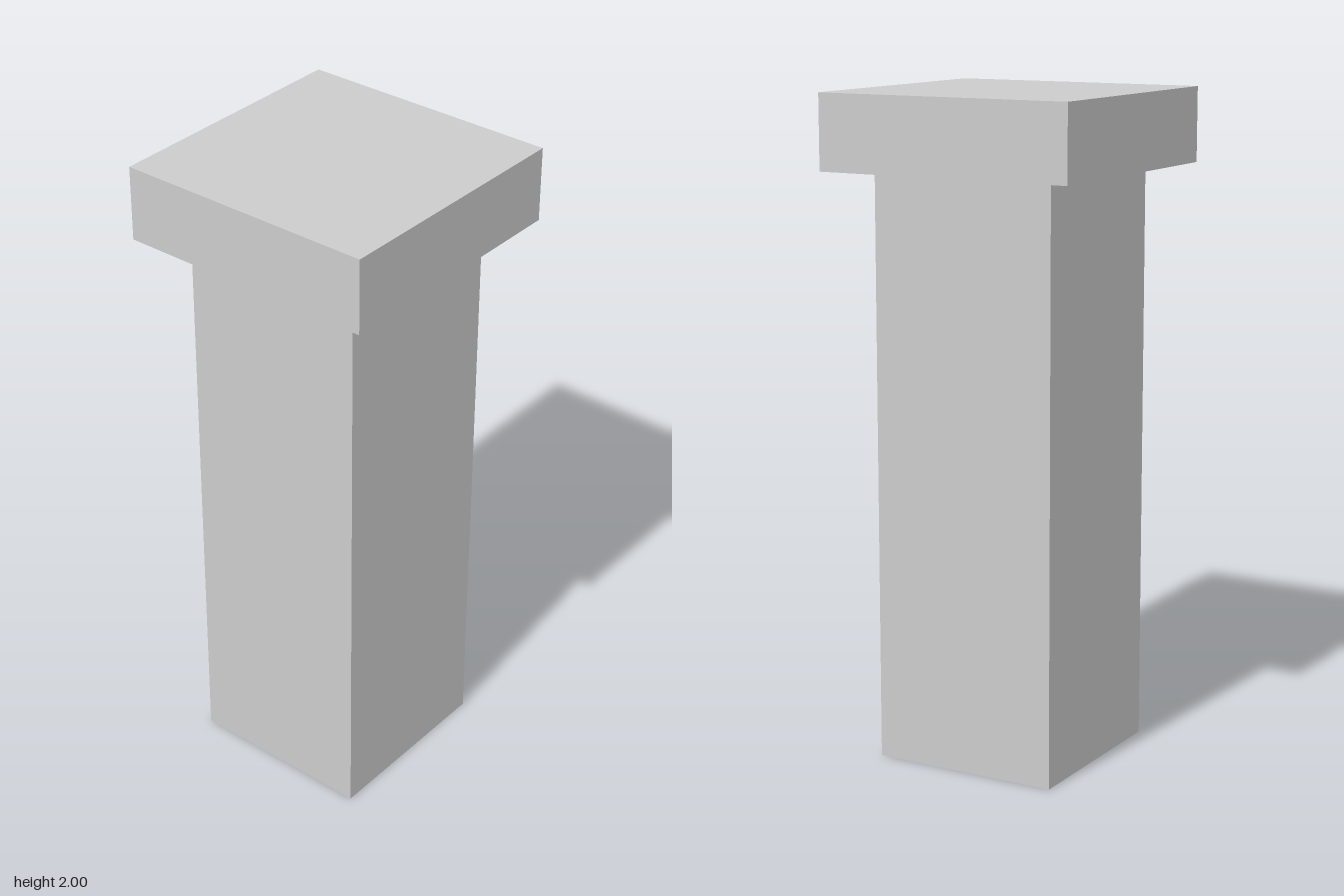
import * as THREE from 'three';

const material = new THREE.MeshStandardMaterial({ color: 0xcccccc, flatShading: true });

// Square block centred on the y axis, spanning bottom to top
function block(name, width, bottom, top) {
  const mesh = new THREE.Mesh(new THREE.BoxGeometry(width, top - bottom, width), material);
  mesh.name = name;
  mesh.position.y = (bottom + top) / 2;
  return mesh;
}

export function createModel() {
  const pillar = new THREE.Group();
  pillar.name = 'pillar';
  const capBottom = 1.775;
  pillar.add(
    block('shaft', 0.58, 0, capBottom),
    block('cap', 0.807, capBottom, 2),
  );
  return pillar;
}
